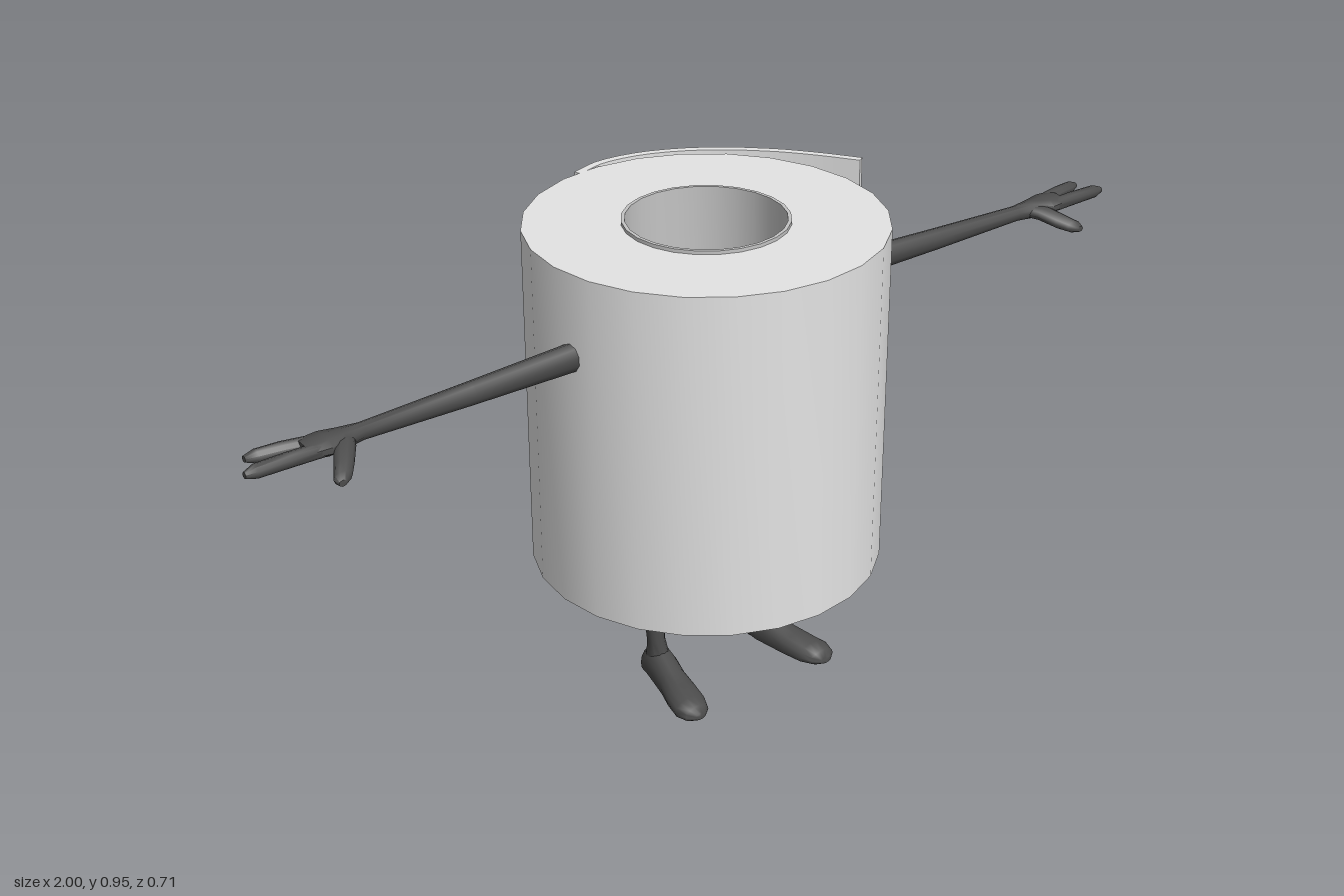
import * as THREE from 'three';
import { toCreasedNormals } from 'three/addons/utils/BufferGeometryUtils.js';

const paper = new THREE.MeshStandardMaterial({ color: 0xe4e4e4 });
paper.name = 'paper';
const card = new THREE.MeshStandardMaterial({ color: 0xc4c4c4 });
card.name = 'cardboard';
const dark = new THREE.MeshStandardMaterial({ color: 0x4c4c4c });
dark.name = 'dark limbs';

const Y0 = 0.257, Y1 = 0.943, CZ = 0.01;

function mesh(name, geometry, material) {
  const m = new THREE.Mesh(geometry, material);
  m.name = name;
  return m;
}

// Square-edged ring around the vertical axis
function ring(ri, ro, y0, y1, segments) {
  const profile = [[ri, y0], [ro, y0], [ro, y1], [ri, y1], [ri, y0]]
    .map(([r, y]) => new THREE.Vector2(r, y));
  const g = toCreasedNormals(new THREE.LatheGeometry(profile, segments), 0.6);
  return g.translate(0, 0, CZ);
}

// Skin over elliptical sections [x, y, z, radiusU, radiusV], ordered along +axis
function loft(axis, sections, mirrored, sides = 10) {
  const [u, v] = { x: [1, 2], y: [2, 0], z: [0, 1] }[axis];
  const pos = [], idx = [], flip = mirrored ? -1 : 1;
  const push = (p) => pos.push(p[0] * flip, Math.max(p[1], 0.001), p[2]);
  const tri = (a, b, c) => (mirrored ? idx.push(a, c, b) : idx.push(a, b, c));
  for (const s of sections) {
    for (let i = 0; i < sides; i++) {
      const a = (i / sides) * Math.PI * 2, p = s.slice(0, 3);
      p[u] += Math.cos(a) * s[3];
      p[v] += Math.sin(a) * s[4];
      push(p);
    }
  }
  const last = (sections.length - 1) * sides, c0 = last + sides;
  push(sections[0]);
  push(sections[sections.length - 1]);
  for (let i = 0; i < sides; i++) {
    const j = (i + 1) % sides;
    for (let k = 0; k < last; k += sides) {
      tri(k + i, k + j, k + sides + j);
      tri(k + i, k + sides + j, k + sides + i);
    }
    tri(c0, j, i);
    tri(c0 + 1, last + i, last + j);
  }
  const g = new THREE.BufferGeometry();
  g.setAttribute('position', new THREE.Float32BufferAttribute(pos, 3));
  g.setIndex(idx);
  return toCreasedNormals(g, 0.9);
}

// Loose end of the paper, peeling away at the back
function looseSheet() {
  const curve = new THREE.CatmullRomCurve3([
    [-0.05, -0.338], [0.02, -0.357], [0.12, -0.343], [0.23, -0.288],
    [0.33, -0.2], [0.39, -0.125], [0.438, -0.052],
  ].map(([x, z]) => new THREE.Vector3(x, -z, 0)));
  const outer = [], inner = [], n = 20;
  for (let i = 0; i <= n; i++) {
    const p = curve.getPoint(i / n), t = curve.getTangent(i / n);
    outer.push(new THREE.Vector2(p.x, p.y));
    inner.unshift(new THREE.Vector2(p.x + t.y * 0.016, p.y - t.x * 0.016));
  }
  const g = new THREE.ExtrudeGeometry(new THREE.Shape([...outer, ...inner]),
    { depth: Y1 - Y0, bevelEnabled: false });
  g.rotateX(-Math.PI / 2).translate(0, Y0, 0);
  return toCreasedNormals(g, 0.6);
}

function arm(mirrored) {
  const g = new THREE.Group();
  g.name = mirrored ? 'rightArm' : 'leftArm';
  const add = (name, axis, s) => g.add(mesh(name, loft(axis, s, mirrored), dark));
  add('armAndPalm', 'x', [
    [0.31, 0.778, 0.046, 0.028, 0.025],
    [0.55, 0.775, 0.049, 0.022, 0.02],
    [0.77, 0.773, 0.05, 0.016, 0.015],
    [0.81, 0.774, 0.053, 0.018, 0.024],
    [0.845, 0.776, 0.055, 0.019, 0.034],
    [0.885, 0.776, 0.052, 0.014, 0.032],
  ]);
  add('frontFinger', 'x', [
    [0.85, 0.775, 0.07, 0.013, 0.016],
    [0.92, 0.777, 0.071, 0.014, 0.014],
    [0.98, 0.776, 0.07, 0.013, 0.013],
    [1.0, 0.775, 0.07, 0.006, 0.006],
  ]);
  add('backFinger', 'x', [
    [0.85, 0.776, 0.042, 0.013, 0.015],
    [0.91, 0.778, 0.033, 0.014, 0.014],
    [0.955, 0.777, 0.026, 0.013, 0.012],
    [0.975, 0.776, 0.022, 0.006, 0.006],
  ]);
  add('thumb', 'z', [
    [0.806, 0.773, 0.055, 0.022, 0.013],
    [0.822, 0.77, 0.085, 0.022, 0.014],
    [0.842, 0.757, 0.115, 0.02, 0.014],
    [0.856, 0.75, 0.135, 0.018, 0.012],
    [0.863, 0.747, 0.147, 0.008, 0.006],
  ]);
  return g;
}

function leg(mirrored) {
  const g = new THREE.Group();
  g.name = mirrored ? 'rightLeg' : 'leftLeg';
  g.add(mesh('shin', loft('y', [
    [0.128, 0.03, 0.018, 0.03, 0.024],
    [0.13, 0.065, 0.019, 0.024, 0.02],
    [0.134, 0.09, 0.021, 0.018, 0.018],
    [0.14, 0.2, 0.02, 0.023, 0.023],
    [0.142, 0.26, 0.019, 0.027, 0.026],
    [0.142, 0.35, 0.018, 0.03, 0.022],
  ], mirrored, 12), dark));
  // Foot: sections dip under the ground and are flattened into a sole
  g.add(mesh('foot', loft('z', [
    [0.124, 0.018, -0.022, 0.014, 0.018],
    [0.124, 0.022, -0.012, 0.024, 0.032],
    [0.126, 0.03, 0.015, 0.03, 0.042],
    [0.13, 0.024, 0.045, 0.031, 0.041],
    [0.138, 0.018, 0.08, 0.031, 0.034],
    [0.148, 0.015, 0.12, 0.036, 0.027],
    [0.157, 0.013, 0.16, 0.037, 0.023],
    [0.16, 0.012, 0.185, 0.028, 0.016],
    [0.16, 0.011, 0.197, 0.013, 0.007],
  ], mirrored, 14), dark));
  return g;
}

export function createModel() {
  const model = new THREE.Group();
  model.name = 'rollFigure';
  model.add(mesh('paperRoll', ring(0.157, 0.342, Y0, Y1, 24), paper));
  model.add(mesh('cardboardTube', ring(0.151, 0.158, 0.25, 0.95, 24), card));
  model.add(mesh('looseSheet', looseSheet(), paper));
  for (const mirrored of [false, true]) model.add(arm(mirrored), leg(mirrored));
  return model;
}
